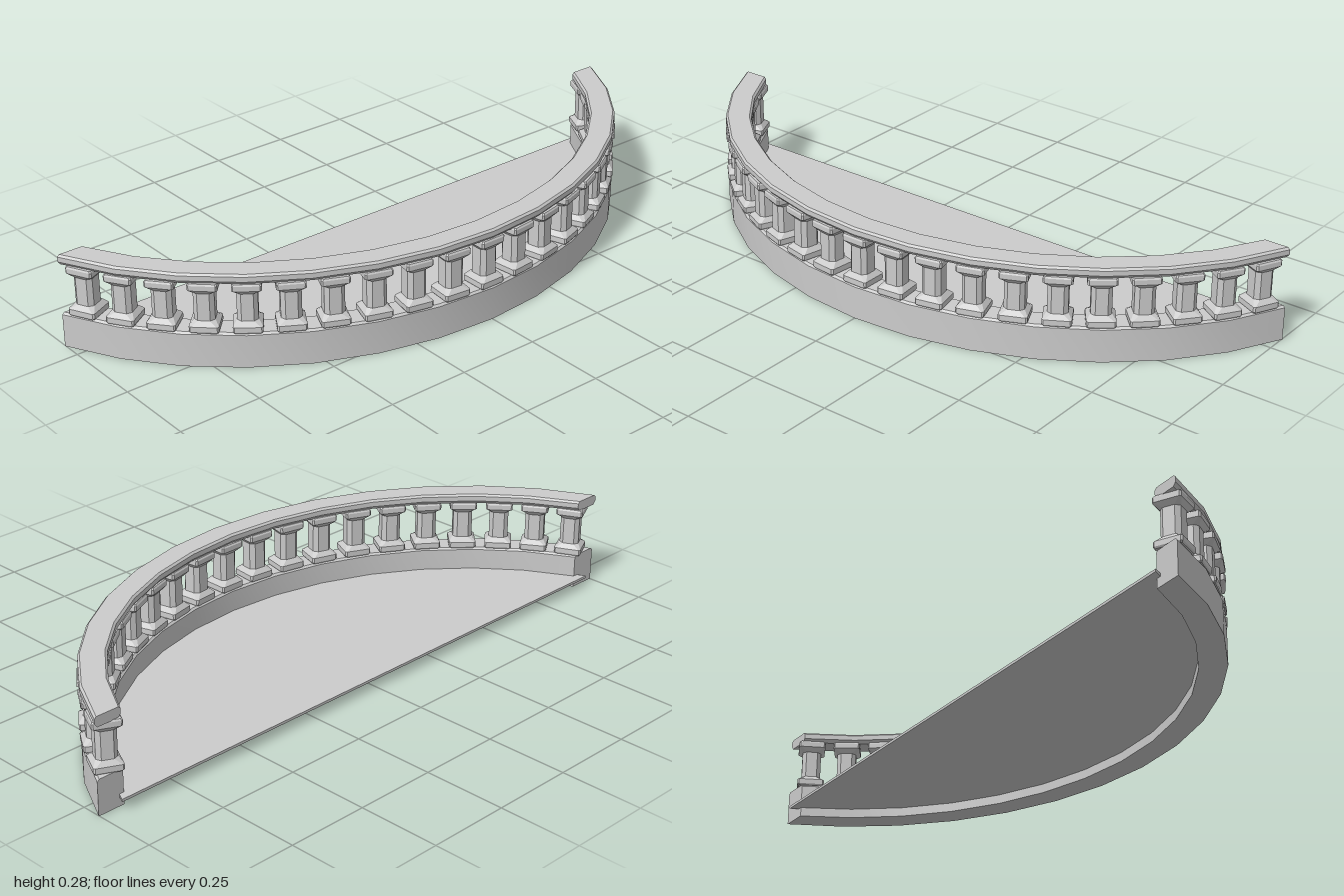
import * as THREE from 'three';
import { toCreasedNormals } from 'three/addons/utils/BufferGeometryUtils.js';

const CENTRE_Z = -0.67, RX = 1.073, RZ = 1.005, BACK_Z = -0.31;
const SEGMENTS = 14, WIDTH = 0.078;

// Point on the balcony ellipse, inset by d
function arcPoint(t, d, y) {
  return new THREE.Vector3((RX - d) * Math.sin(t), y, CENTRE_Z + (RZ - d) * Math.cos(t));
}

// Angle at which the inset ellipse meets a given z
const endAngle = (d, z) => Math.acos((z - CENTRE_Z) / (RZ - d));

// Joins closed rings of points into a capped solid
function loft(rings, crease) {
  const out = [];
  const n = rings[0].length;
  const tri = (...pts) => pts.forEach(p => out.push(p.x, p.y, p.z));
  for (let r = 0; r < rings.length - 1; r++) {
    const A = rings[r], B = rings[r + 1];
    for (let i = 0; i < n; i++) {
      const j = (i + 1) % n;
      tri(A[i], A[j], B[j]);
      tri(A[i], B[j], B[i]);
    }
  }
  const first = rings[0], last = rings[rings.length - 1];
  for (let i = 1; i < n - 1; i++) {
    tri(first[0], first[i + 1], first[i]);
    tri(last[0], last[i], last[i + 1]);
  }
  const g = new THREE.BufferGeometry();
  g.setAttribute('position', new THREE.Float32BufferAttribute(out, 3));
  g.computeVertexNormals();
  return crease ? toCreasedNormals(g, crease) : g;
}

// Sweeps a [inset, height] profile round the arc, with ends cut square to z
function sweep(profile) {
  const rings = [];
  for (let s = 0; s <= SEGMENTS; s++) {
    const k = (2 * s) / SEGMENTS - 1;
    rings.push(profile.map(([d, y]) => arcPoint(k * endAngle(d, BACK_Z), d, y)));
  }
  return loft(rings, 0.4);
}

// Square ring with cut corners
function squareRing(y, h, c) {
  const ring = [];
  for (let i = 0; i < 4; i++) {
    const a = i * Math.PI / 2;
    for (const u of [-(h - c), h - c]) {
      ring.push(new THREE.Vector3(
        h * Math.sin(a) + u * Math.cos(a), y, h * Math.cos(a) - u * Math.sin(a)));
    }
  }
  return ring;
}

export function createModel() {
  const model = new THREE.Group();
  const material = new THREE.MeshStandardMaterial({ color: 0xcccccc });
  const add = (name, geometry, parent = model) => {
    const mesh = new THREE.Mesh(geometry, material);
    mesh.name = name;
    parent.add(mesh);
    return mesh;
  };

  // Curved base wall with slightly bevelled top edges
  add('baseWall', sweep([
    [0, 0], [WIDTH, 0], [WIDTH, 0.1], [WIDTH - 0.006, 0.106], [0.006, 0.106], [0, 0.1],
  ]));

  // Handrail, bevelled above and below
  add('handrail', sweep([
    [0.008, 0.254], [WIDTH - 0.008, 0.254], [WIDTH, 0.264], [WIDTH, 0.279],
    [WIDTH - 0.006, 0.285], [0.006, 0.285], [0, 0.279], [0, 0.264],
  ]));

  // Thin floor tucked into the wall, running a little past its ends
  const floorInset = 0.062, floorEnd = endAngle(floorInset, -0.335);
  const outline = [];
  for (let s = 0; s <= SEGMENTS; s++) {
    const p = arcPoint(((2 * s) / SEGMENTS - 1) * floorEnd, floorInset, 0);
    outline.push(new THREE.Vector2(p.x, -p.z));
  }
  const floor = new THREE.ExtrudeGeometry(new THREE.Shape(outline), { depth: 0.008, bevelEnabled: false });
  floor.rotateX(-Math.PI / 2).translate(0, 0.028, 0);
  add('floor', floor);

  // Balusters: square foot, eight-sided shaft, square capital
  const half = [[0.105, 0.038, 0.004], [0.11, 0.041, 0.004], [0.125, 0.041, 0.005], [0.137, 0.031, 0.012], [0.139, 0.029, 0.012]];
  const upper = half.map(([y, h, c]) => [0.361 - y, h, c]).reverse();
  const balusterGeometry = loft([...half, ...upper].map(r => squareRing(...r)));

  const balusters = new THREE.Group();
  balusters.name = 'balusters';
  model.add(balusters);
  for (let i = -10; i <= 10; i++) {
    const t = THREE.MathUtils.degToRad(i * 6.55);
    const baluster = add('baluster', balusterGeometry, balusters);
    baluster.position.copy(arcPoint(t, 0.04, 0));
    baluster.rotation.y = Math.atan2(Math.sin(t) / RX, Math.cos(t) / RZ);
  }
  return model;
}
